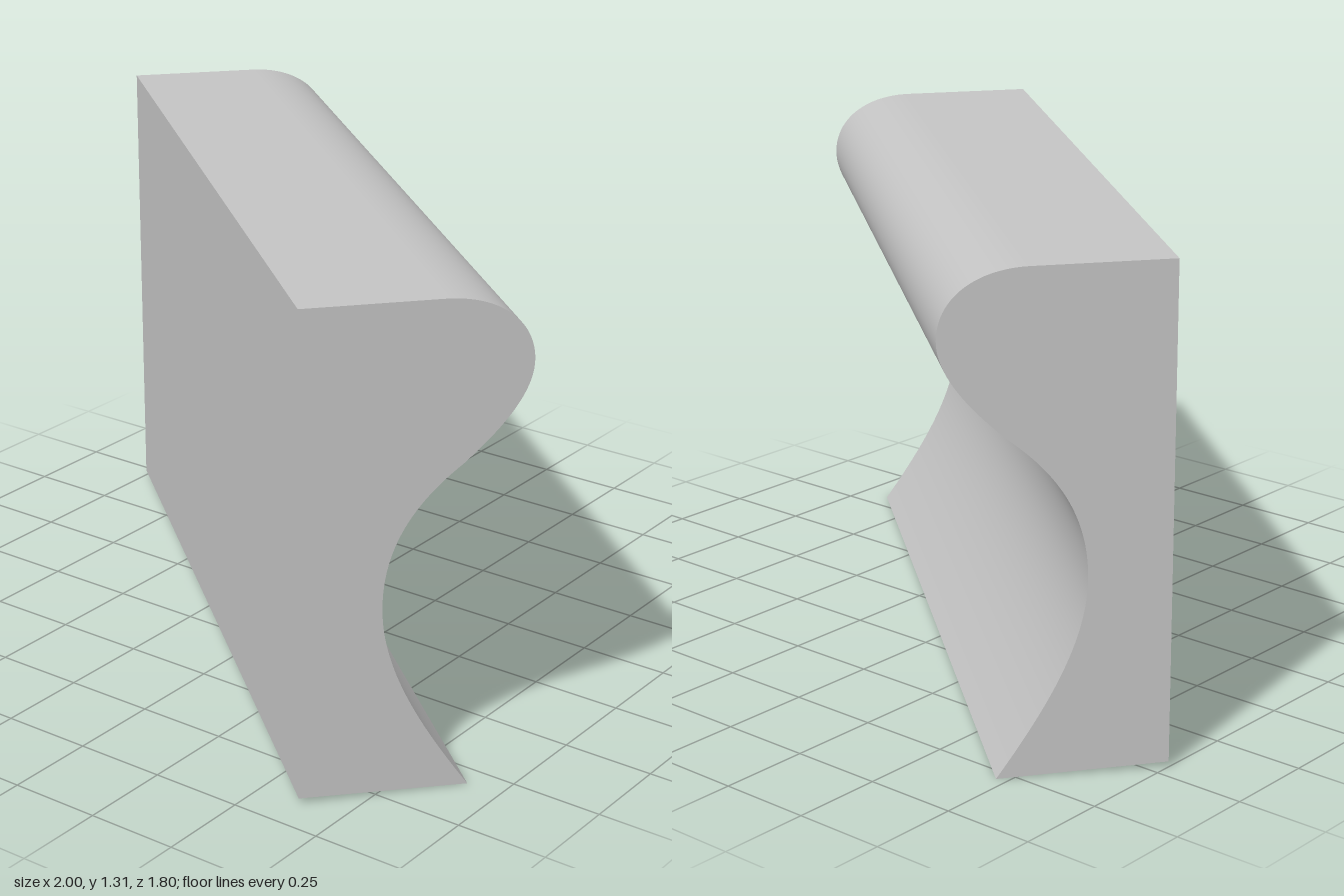
import * as THREE from 'three';
import { toCreasedNormals } from 'three/addons/utils/BufferGeometryUtils.js';

export function createModel() {
  const group = new THREE.Group();
  group.name = 'mouldingBlock';
  const grey = new THREE.MeshStandardMaterial({ color: 0xc4c4c4 });
  grey.name = 'light grey';

  // Cross-section: flat face at x = 0, hollow below, rounded nose above
  const profile = new THREE.Shape();
  profile.moveTo(0, 0.015);
  profile.lineTo(0.436, 0);
  profile.bezierCurveTo(0.31, 0.18, 0.21, 0.35, 0.21, 0.515);
  profile.bezierCurveTo(0.21, 0.68, 0.29, 0.79, 0.41, 0.88);
  profile.bezierCurveTo(0.49, 0.95, 0.58, 1.04, 0.58, 1.13);
  profile.bezierCurveTo(0.58, 1.23, 0.49, 1.303, 0.35, 1.303);
  profile.lineTo(0, 1.307);
  profile.closePath();

  // Straight run of the profile, smooth over the curves and sharp at the corners
  const geometry = toCreasedNormals(
    new THREE.ExtrudeGeometry(profile, { depth: 2.116, bevelEnabled: false, curveSegments: 24 }), 0.4);
  const moulding = new THREE.Mesh(geometry, grey);
  moulding.name = 'moulding';

  // Set diagonally across the plan
  moulding.rotation.y = 0.875;
  moulding.position.set(-1, 0, -0.455);
  group.add(moulding);
  return group;
}
